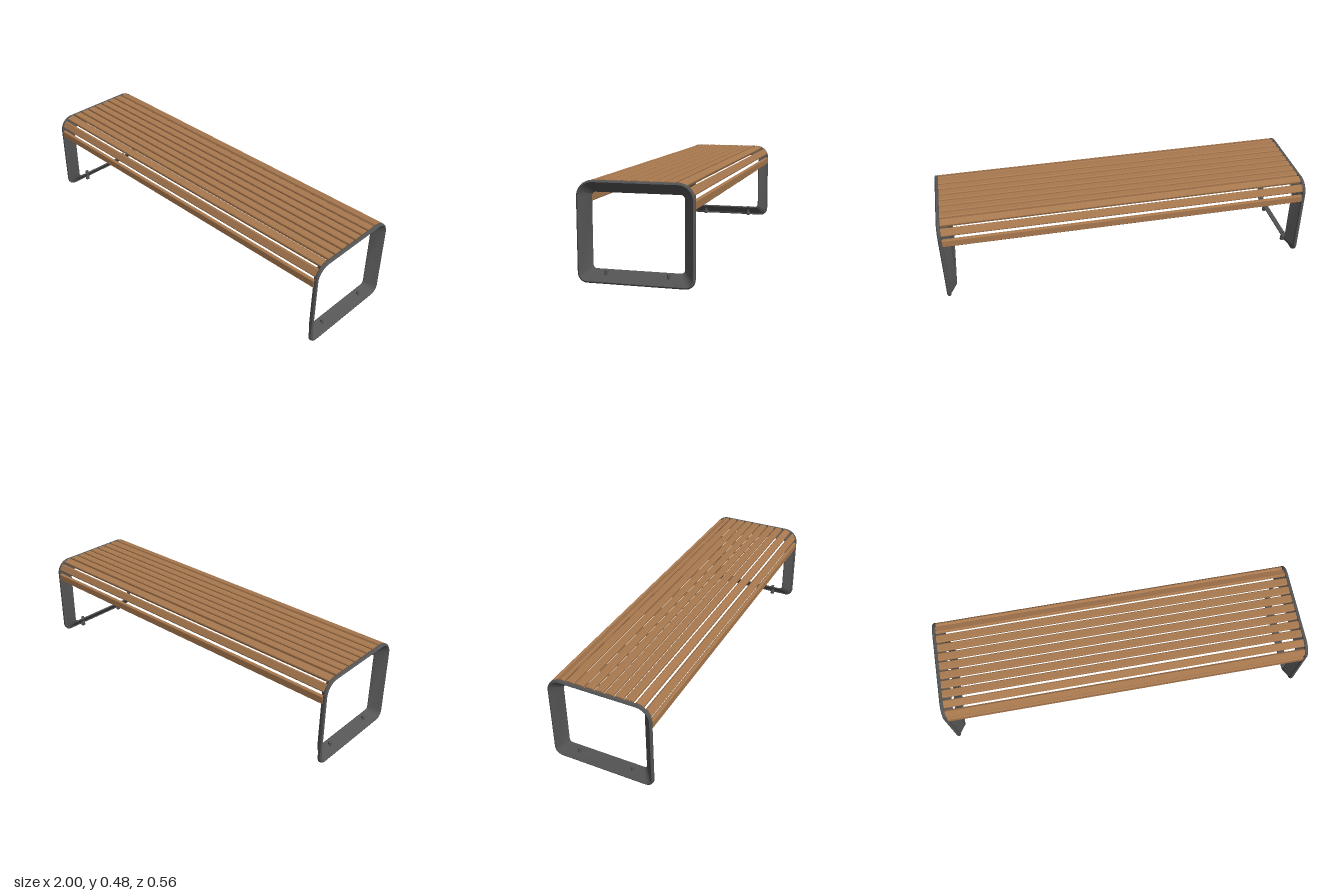
import * as THREE from 'three';
import { toCreasedNormals } from 'three/addons/utils/BufferGeometryUtils.js';

const wood = new THREE.MeshStandardMaterial({ color: 0xa9794f });
const metal = new THREE.MeshStandardMaterial({ color: 0x555555 });

const HALF_DEPTH = 0.28, HEIGHT = 0.478;

// Rounded rectangle in (z, y), shrunk by an inset
function outline(inset, seg = 8) {
  const pts = [];
  const corners = [[1, 0, -90], [1, 1, 0], [-1, 1, 90], [-1, 0, 180]];
  for (const [side, top, start] of corners) {
    const r = Math.max((top ? 0.078 : 0.046) - inset, 0.018);
    const cz = side * (HALF_DEPTH - inset - r);
    const cy = top ? HEIGHT - inset - r : inset + r;
    for (let i = 0; i <= seg; i++) {
      const a = THREE.MathUtils.degToRad(start + (90 * i) / seg);
      pts.push([cz + r * Math.cos(a), cy + r * Math.sin(a)]);
    }
  }
  return pts;
}

// Closed loop with a narrow outer lip and a plate sloping inwards
function frameGeometry() {
  // [inset, x]
  const section = [[0, 0.985], [0.001, 0.995], [0.005, 0.999], [0.009, 1], [0.013, 0.997],
    [0.06, 0.947], [0.058, 0.943], [0.052, 0.943], [0.012, 0.98], [0.003, 0.981]];
  const rings = section.map(([d, x]) => outline(d).map(([z, y]) => [x, y, z]));
  const n = rings[0].length, m = rings.length, pos = [];
  for (let j = 0; j < m; j++) {
    for (let i = 0; i < n; i++) {
      const j2 = (j + 1) % m, i2 = (i + 1) % n;
      const a = rings[j][i], b = rings[j2][i], c = rings[j2][i2], d = rings[j][i2];
      pos.push(...a, ...b, ...c, ...a, ...c, ...d);
    }
  }
  const g = new THREE.BufferGeometry();
  g.setAttribute('position', new THREE.Float32BufferAttribute(pos, 3));
  return toCreasedNormals(g, 0.6);
}

// Chamfered plank along x, its upper face at y = 0
function slatGeometry() {
  const w = 0.021, t = 0.02, c = 0.004, length = 1.96;
  const s = new THREE.Shape([[-w, -c], [-w, -t + c], [-w + c, -t], [w - c, -t],
    [w, -t + c], [w, -c], [w - c, 0], [-w + c, 0]].map(([x, y]) => new THREE.Vector2(x, y)));
  const g = new THREE.ExtrudeGeometry(s, { depth: length, bevelEnabled: false });
  g.translate(0, 0, -length / 2);
  g.rotateY(Math.PI / 2);
  return g;
}

function add(parent, name, geometry, material, x, y, z) {
  const mesh = new THREE.Mesh(geometry, material);
  mesh.name = name;
  mesh.position.set(x, y, z);
  parent.add(mesh);
  return mesh;
}

export function createModel() {
  const bench = new THREE.Group();
  bench.name = 'bench';

  // End frames with two levelling feet each
  const frameGeo = frameGeometry();
  const studGeo = new THREE.CylinderGeometry(0.009, 0.009, 0.05, 20);
  const footGeo = new THREE.CylinderGeometry(0.012, 0.012, 0.018, 20);
  for (const side of ['left', 'right']) {
    const end = new THREE.Group();
    end.name = side + 'End';
    add(end, 'frame', frameGeo, metal, 0, 0, 0);
    for (const z of [-0.15, 0.15]) {
      add(end, 'footStud', studGeo, metal, 0.965, 0.033, z);
      add(end, 'foot', footGeo, metal, 0.965, 0.009, z);
    }
    if (side === 'right') end.rotation.y = Math.PI;
    bench.add(end);
  }

  // Flat seat slats
  const slatGeo = slatGeometry();
  const seat = new THREE.Group();
  seat.name = 'seat';
  for (let i = -3; i <= 3; i++) add(seat, 'seatSlat', slatGeo, wood, 0, 0.48, i * 0.0525);

  // Slats wrapping around the front and back edges: [z, y, tilt in degrees]
  const edge = [[0.216, 0.475, 18], [0.2655, 0.442, 60], [0.28, 0.379, 90]];
  for (const s of [-1, 1]) {
    for (const [z, y, tilt] of edge) {
      const slat = add(seat, s > 0 ? 'frontEdgeSlat' : 'backEdgeSlat', slatGeo, wood, 0, y, s * z);
      slat.rotation.x = s * THREE.MathUtils.degToRad(tilt);
    }
  }
  bench.add(seat);
  return bench;
}
